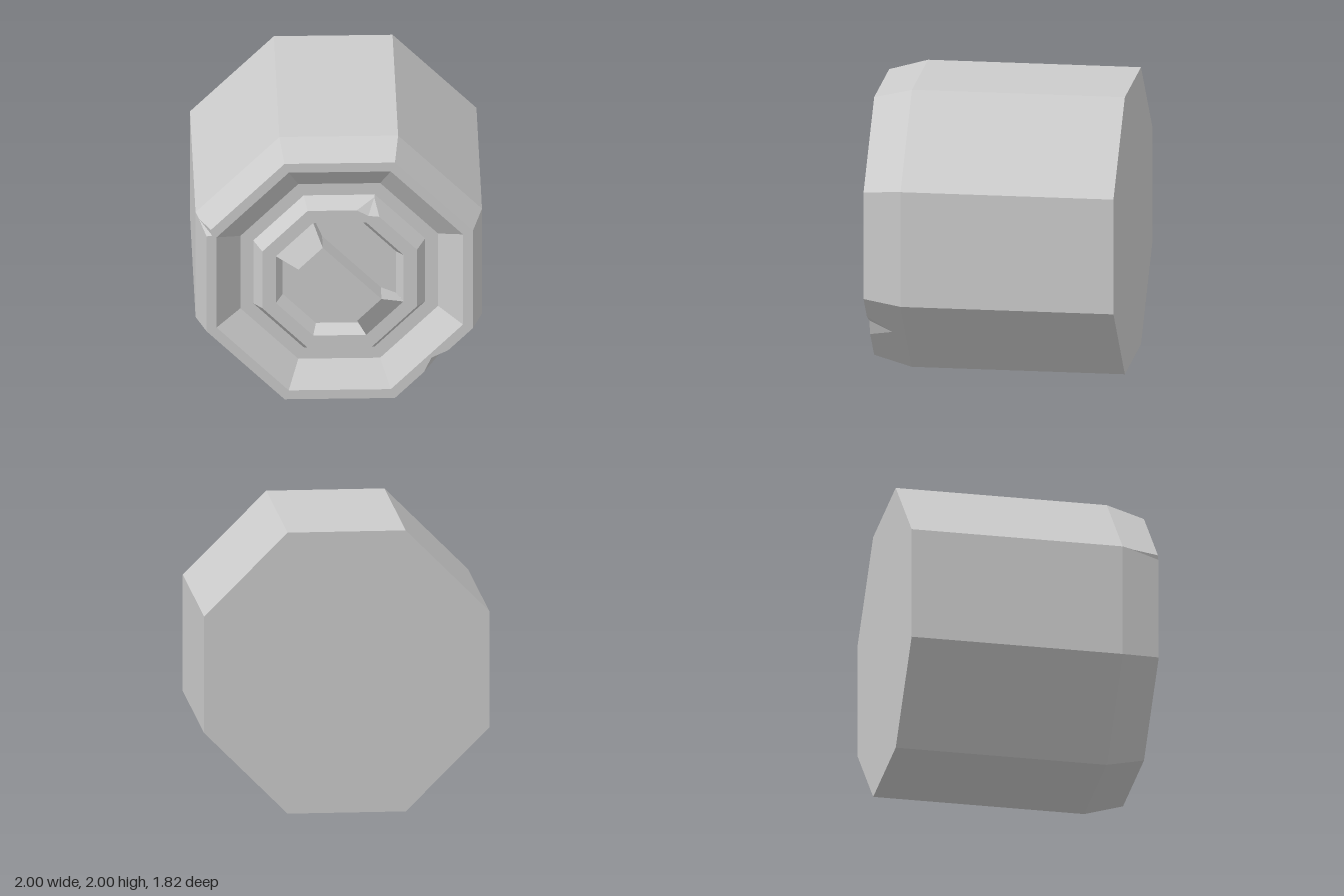
import * as THREE from 'three';

const BACK = -0.91, SHOULDER = 0.59, FRONT = 0.86;
const GROOVE = 0.71, RING = 0.83, RECESS = 0.735, GRIP = 0.91;
const material = new THREE.MeshStandardMaterial({ color: 0xcccccc, flatShading: true });
const V = (x, y, z) => new THREE.Vector3(x, y, z);

// Eight corners, counter-clockwise, of an octagon given its flat-to-centre distance
function octagon(apothem, z) {
  const r = apothem / Math.cos(Math.PI / 8);
  return Array.from({ length: 8 }, (_, i) => {
    const t = Math.PI / 8 + (i * Math.PI) / 4;
    return V(r * Math.cos(t), r * Math.sin(t), z);
  });
}

// Flat face seen from +z, with optional hole
function face(tris, points, hole) {
  const outline = THREE.ShapeUtils.isClockWise(points) ? [...points].reverse() : points;
  const holes = hole ? [[...hole].reverse()] : [];
  const all = [...outline, ...holes.flat()];
  for (const t of THREE.ShapeUtils.triangulateShape(outline, holes)) {
    const [a, b, c] = t.map((i) => all[i]);
    const turn = (b.x - a.x) * (c.y - a.y) - (b.y - a.y) * (c.x - a.x);
    tris.push(...(turn >= 0 ? [a, b, c] : [a, c, b]));
  }
}

// Slope between two octagons, one face per side
function slope(tris, outer, inner) {
  for (let i = 0; i < 8; i++) {
    const j = (i + 1) % 8;
    face(tris, [outer[i], outer[j], inner[j], inner[i]]);
  }
}

// Raised rim: outer bevel and flat top, with chips knocked out at a corner or along a side
function chippedRim(tris, outer, rim, hole, chips) {
  const outline = [];
  for (let i = 0; i < 8; i++) {
    const j = (i + 1) % 8;
    const here = chips.find((c) => c.corner === i);
    const next = chips.find((c) => c.corner === j);
    const mid = chips.find((c) => c.side === i);
    const edge = [
      ...(here ? [here.apex, here.end] : [rim[i]]),
      ...(mid ? [mid.start, mid.apex, mid.end] : []),
      ...(next ? [next.start, next.apex] : [rim[j]]),
    ];
    face(tris, [outer[i], outer[j], ...edge.reverse()]);
    outline.push(...(here ? [here.start, here.inner, here.end] : [rim[i]]));
    if (mid) outline.push(mid.start, mid.inner, mid.end);
  }
  face(tris, outline, hole);
  for (const c of chips) {
    face(tris, [c.start, c.inner, c.apex]);
    face(tris, [c.inner, c.end, c.apex]);
  }
}

function part(name, tris) {
  const geometry = new THREE.BufferGeometry().setFromPoints(tris);
  geometry.computeVertexNormals();
  const mesh = new THREE.Mesh(geometry, material);
  mesh.name = name;
  return mesh;
}

export function createModel() {
  const group = new THREE.Group();
  group.name = 'octagonalKnob';
  const knob = new THREE.Group();
  knob.name = 'knob';
  knob.position.y = 1;
  group.add(knob);

  // Main octagonal body
  const bodyGeometry = new THREE.CylinderGeometry(
    1 / Math.cos(Math.PI / 8), 1 / Math.cos(Math.PI / 8), SHOULDER - BACK, 8, 1, false, Math.PI / 8);
  bodyGeometry.rotateX(Math.PI / 2).translate(0, 0, (SHOULDER + BACK) / 2);
  const body = new THREE.Mesh(bodyGeometry, material);
  body.name = 'body';
  knob.add(body);

  // Bevelled front rim with two chips
  const rim = [];
  chippedRim(rim, octagon(1, SHOULDER), octagon(0.93, FRONT), octagon(0.86, FRONT), [
    { corner: 3, start: V(-0.9, 0.415, FRONT), inner: V(-0.89, 0.37, FRONT),
      end: V(-0.93, 0.365, FRONT), apex: V(-0.98, 0.405, 0.67) },
    { side: 6, start: V(0.587, -0.728, FRONT), inner: V(0.64, -0.615, FRONT),
      end: V(0.757, -0.558, FRONT), apex: V(0.7, -0.677, 0.69) },
  ]);
  knob.add(part('frontRim', rim));

  // Sunken groove behind the rim
  const groove = [];
  slope(groove, octagon(0.86, FRONT), octagon(0.69, GROOVE));
  face(groove, octagon(0.69, GROOVE), octagon(0.6, GROOVE));
  knob.add(part('groove', groove));

  // Raised inner ring with one chipped corner
  const ring = [];
  chippedRim(ring, octagon(0.6, GROOVE), octagon(0.54, RING), octagon(0.445, RING), [
    { corner: 1, start: V(0.277, 0.487, RING), inner: V(0.2, 0.495, RING),
      end: V(0.12, 0.54, RING), apex: V(0.244, 0.59, 0.73) },
  ]);
  knob.add(part('innerRing', ring));

  // Recess inside the ring
  const recess = [];
  slope(recess, octagon(0.445, RING), octagon(0.395, RECESS));
  face(recess, octagon(0.395, RECESS));
  knob.add(part('recess', recess));

  // Diagonal grip bar, its ends flaring down onto the ring
  const grip = [];
  const end = [V(0.445, -0.184, RING), V(0.445, 0.184, RING), V(0.29, 0.12, GRIP)];
  const far = [V(-0.29, 0.12, GRIP), V(-0.445, 0.184, RING), V(-0.445, -0.184, RING), V(-0.29, -0.12, GRIP)];
  const loop = [...end, ...far, V(0.29, -0.12, GRIP)];
  face(grip, [loop[7], loop[2], loop[3], loop[6]]);
  face(grip, [loop[0], loop[1], loop[2], loop[7]]);
  face(grip, [loop[3], loop[4], loop[5], loop[6]]);
  loop.forEach((a, i) => {
    const b = loop[(i + 1) % loop.length];
    const [a0, b0] = [a, b].map((p) => V(p.x, p.y, RECESS));
    grip.push(a0, b0, b, a0, b, a);
  });
  const bar = part('gripBar', grip);
  bar.rotation.z = (3 * Math.PI) / 4;
  knob.add(bar);

  return group;
}
